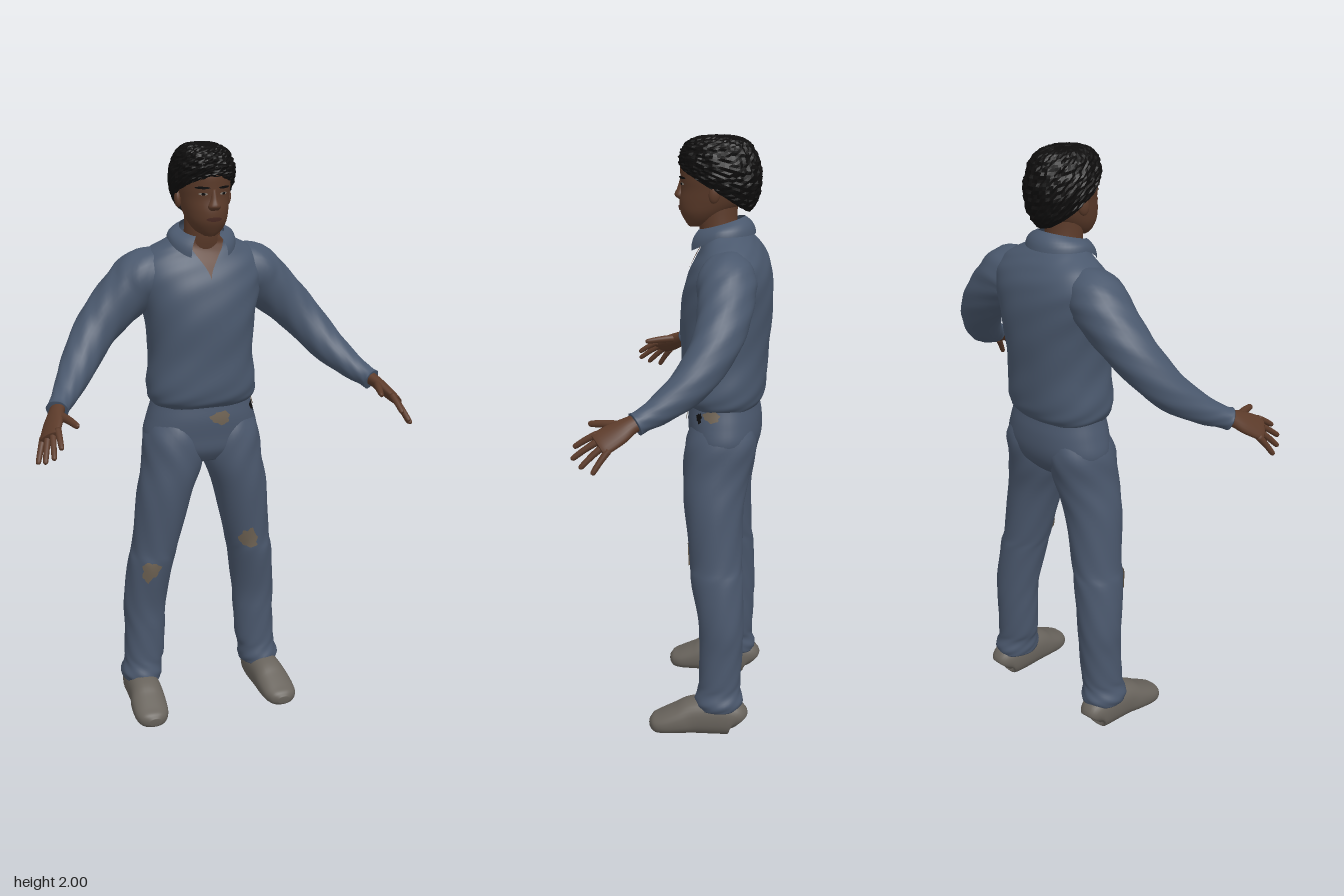
import * as THREE from 'three';

const mat = (name, color, double) => {
  const m = new THREE.MeshStandardMaterial({ color });
  m.name = name;
  if (double) m.side = THREE.DoubleSide;
  return m;
};

// Grid of points f(u, v); s = -1 mirrors it across x
function grid(f, nu, nv, s = 1, closed = true) {
  const pos = [], idx = [], cols = closed ? nu : nu + 1;
  for (let j = 0; j <= nv; j++)
    for (let i = 0; i < cols; i++) {
      const p = f(i / nu, j / nv);
      pos.push(p.x * s, p.y, p.z);
    }
  for (let j = 0; j < nv; j++)
    for (let i = 0; i < nu; i++) {
      const a = j * cols + i, b = j * cols + (i + 1) % cols, c = a + cols, d = b + cols;
      if (s > 0) idx.push(a, c, b, b, c, d);
      else idx.push(a, b, c, b, d, c);
    }
  const g = new THREE.BufferGeometry();
  g.setAttribute('position', new THREE.Float32BufferAttribute(pos, 3));
  g.setIndex(idx);
  g.computeVertexNormals();
  return g;
}

// Smooth surface through sections [x, y, z, ra, rb]; v counts sections.
// Without ref the rings are level; with ref they stand across the path.
function surface(sec, { ref, e = 1, wr = 0 } = {}) {
  const n = sec.length - 1;
  const at = (v) => {
    const k = Math.min(n - 1, Math.max(0, Math.floor(v))), t = v - k;
    const q = [-1, 0, 1, 2].map((d) => sec[Math.min(n, Math.max(0, k + d))]);
    return q[1].map((_, i) => {
      const [a, b, c, d] = q.map((r) => r[i]);
      return b + 0.5 * t * (c - a + t * (2 * a - 5 * b + 4 * c - d + t * (3 * (b - c) + d - a)));
    });
  };
  const pow = (x) => Math.sign(x) * Math.abs(x) ** e;
  const p = (u, v, k = 1) => {
    const [x, y, z, ra, rb] = at(v), th = u * Math.PI * 2;
    const a = new THREE.Vector3(1, 0, 0), b = new THREE.Vector3(0, 0, 1);
    if (ref) {
      const lo = at(Math.max(0, v - 0.2)), hi = at(Math.min(n, v + 0.2));
      const t = new THREE.Vector3(hi[0] - lo[0], hi[1] - lo[1], hi[2] - lo[2]).normalize();
      a.set(...ref).addScaledVector(t, -t.dot(a)).normalize();
      b.crossVectors(a, t);
    }
    const w = k * (1 + wr * Math.sin(5 * th + 2.3 * v) * Math.sin(3.1 * v + 2 * th));
    return new THREE.Vector3(x, y, z).addScaledVector(a, ra * w * pow(Math.cos(th)))
      .addScaledVector(b, rb * w * pow(Math.sin(th)));
  };
  p.n = n;
  return p;
}

// Closed body of a surface, with end caps
function body(p, s = 1, nu = 32, per = 5) {
  const rows = p.n * per;
  return grid((u, t) => {
    const j = Math.round(t * (rows + 2)) - 1;
    return p(u, Math.min(rows, Math.max(0, j)) / per, j < 0 || j > rows ? 0 : 1);
  }, nu, rows + 2, s);
}

const lift = (p, u, v, off) => {
  const h = 0.004, o = p(u, v);
  const du = p(u + h, v).sub(p(u - h, v)), dv = p(u, v + h).sub(p(u, v - h));
  return o.addScaledVector(dv.cross(du).normalize(), off);
};

// Thin rounded patch lying on a surface
const patch = (p, u, v, du, dv, s = 1, off = 0.003, rag = 0) => grid((a, r) => {
  const t = -a * Math.PI * 2, k = r * (1 + rag * Math.sin(3 * t + 1) + rag * Math.sin(7 * t));
  return lift(p, u + du * k * Math.cos(t), v + dv * k * Math.sin(t), off);
}, 24, 5, s);

export function createModel() {
  const model = new THREE.Group();
  const shirt = mat('shirt blue', 0x4a586d, true), denim = mat('trouser blue', 0x4a576c, true);
  const skin = mat('skin brown', 0x5c3b2a, true), hairMat = mat('hair black', 0x0e0d0d, true);
  const shoeMat = mat('shoe grey', 0x68635c), worn = mat('worn tan', 0x6e6253, true);
  const lip = mat('lip brown', 0x4a2a23, true), white = mat('eye white', 0x8c837a, true);
  const add = (name, m, g) => {
    const o = new THREE.Mesh(g, m);
    o.name = name;
    model.add(o);
    return o;
  };

  // Shirt body
  const torso = surface([
    [0, 1.125, -0.118, 0.168, 0.113], [0, 1.15, -0.115, 0.184, 0.132], [0, 1.2, -0.115, 0.188, 0.14],
    [0, 1.3, -0.118, 0.178, 0.143], [0, 1.42, -0.122, 0.188, 0.15], [0, 1.52, -0.13, 0.212, 0.143],
    [0, 1.59, -0.137, 0.222, 0.125], [0, 1.64, -0.138, 0.188, 0.1], [0, 1.675, -0.13, 0.13, 0.08],
    [0, 1.7, -0.115, 0.085, 0.068],
  ], { e: 0.87, wr: 0.014 });
  add('shirt body', shirt, body(torso, 1, 56, 6));

  // Open neck of the shirt
  add('open neckline', skin, grid((u, t) =>
    lift(torso, 0.25 - (u - 0.5) * 2 * 0.11 * t ** 1.6, 5.6 + 3.39 * t, 0.004), 12, 18, -1, false));

  // Folded collar, open at the front
  add('collar', shirt, grid((u, t) => {
    const f = 0.58 + u * (Math.PI * 2 - 1.16), c = Math.cos(f), k = Math.sin(t * Math.PI / 2);
    const top = 1.722 - 0.022 * c, low = 1.69 - 0.062 * Math.max(0, c);
    return new THREE.Vector3((0.074 + 0.041 * k) * Math.sin(f),
      top + (low - top) * t + 0.006 * Math.sin(t * Math.PI), -0.1 - 0.005 * t + (0.078 + 0.032 * k) * c);
  }, 40, 6, 1, false));

  // Trouser seat with worn spots
  const seat = surface([
    [0, 0.93, -0.11, 0.12, 0.08], [0, 0.97, -0.116, 0.18, 0.11], [0, 1.02, -0.122, 0.203, 0.12],
    [0, 1.08, -0.12, 0.19, 0.122], [0, 1.13, -0.118, 0.175, 0.115], [0, 1.17, -0.116, 0.165, 0.11],
  ], { e: 0.92 });
  add('trouser seat', denim, body(seat, 1, 48));
  add('fly patch', worn, patch(seat, 0.225, 3.2, 0.027, 0.42, 1, 0.005, 0.1));
  add('hip patch', worn, patch(seat, 0.03, 3.7, 0.035, 0.35, 1, 0.004, 0.1));
  add('hip tear', hairMat, patch(seat, 0.085, 3.5, 0.014, 0.32, 1, 0.005, 0.15));

  // Legs, shoes, sleeves and hands, mirrored
  const leg = surface([
    [0.224, 0.1, -0.13, 0.068, 0.078], [0.225, 0.125, -0.13, 0.073, 0.083], [0.219, 0.16, -0.13, 0.067, 0.073],
    [0.213, 0.2, -0.132, 0.071, 0.071], [0.208, 0.3, -0.135, 0.072, 0.073], [0.205, 0.4, -0.135, 0.076, 0.076],
    [0.185, 0.55, -0.118, 0.08, 0.088], [0.17, 0.62, -0.112, 0.081, 0.088], [0.14, 0.8, -0.1, 0.095, 0.1],
    [0.109, 0.92, -0.105, 0.105, 0.113], [0.1, 1.02, -0.117, 0.104, 0.116], [0.085, 1.1, -0.12, 0.088, 0.085],
  ], { wr: 0.025 });
  const shoe = surface([
    [0.232, 0.048, -0.2, 0.033, 0.036], [0.231, 0.062, -0.182, 0.05, 0.06], [0.23, 0.067, -0.12, 0.056, 0.067],
    [0.233, 0.063, -0.045, 0.058, 0.063], [0.238, 0.05, 0.005, 0.062, 0.05], [0.242, 0.036, 0.06, 0.059, 0.036],
    [0.242, 0.03, 0.09, 0.045, 0.028], [0.242, 0.028, 0.105, 0.02, 0.014],
  ], { ref: [1, 0, 0], e: 0.85 });
  const sleeve = surface([
    [0.12, 1.585, -0.135, 0.075, 0.075], [0.19, 1.563, -0.143, 0.094, 0.092], [0.24, 1.52, -0.147, 0.09, 0.09],
    [0.31, 1.455, -0.142, 0.082, 0.08], [0.375, 1.385, -0.118, 0.073, 0.07], [0.44, 1.3, -0.06, 0.062, 0.06],
    [0.5, 1.237, 0.02, 0.046, 0.044], [0.535, 1.21, 0.07, 0.036, 0.035], [0.548, 1.2, 0.09, 0.038, 0.036],
  ], { ref: [0, 0, 1], wr: 0.03 });
  const across = [0.576, -0.524, -0.628];
  const palm = surface([
    [0.53, 1.215, 0.06, 0.028, 0.024], [0.552, 1.2, 0.1, 0.03, 0.021], [0.57, 1.18, 0.135, 0.04, 0.02],
    [0.592, 1.155, 0.18, 0.044, 0.016], [0.6, 1.147, 0.195, 0.038, 0.012],
  ], { ref: across });
  const tips = [[0.578, 1.13, 0.272], [0.603, 1.1, 0.274], [0.625, 1.08, 0.245], [0.64, 1.068, 0.205]];
  const fingers = tips.map((tip, i) => {
    const base = [0.592, 1.155, 0.18].map((k, j) => k + across[j] * (-0.034 + 0.0225 * i));
    return surface([0, 0.5, 0.92, 1].map((t) => {
      const r = t === 1 ? 0.004 : 0.0115 - 0.0035 * t;
      return [...base.map((b, j) => b + (tip[j] - b) * t + (j === 1 ? 0.01 * t * (1 - t) : 0)), r, r];
    }), { ref: across });
  });
  const thumb = surface([
    [0.556, 1.195, 0.12, 0.016, 0.013], [0.535, 1.194, 0.175, 0.013, 0.012],
    [0.519, 1.188, 0.228, 0.01, 0.008], [0.516, 1.186, 0.238, 0.004, 0.003],
  ], { ref: across });

  for (const [side, s] of [['left', 1], ['right', -1]]) {
    add(side + ' trouser leg', denim, body(leg, s, 36));
    const foot = body(shoe, s, 32), y = foot.attributes.position;
    for (let i = 0; i < y.count; i++) y.setY(i, Math.max(0, y.getY(i)));
    add(side + ' shoe', shoeMat, foot);
    add(side + ' sleeve', shirt, body(sleeve, s, 32));
    add(side + ' palm', skin, body(palm, s, 20));
    add(side + ' thumb', skin, body(thumb, s, 12, 4));
    fingers.forEach((f, i) => add(`${side} finger ${i + 1}`, skin, body(f, s, 12, 4)));
  }
  add('left knee patch', worn, patch(leg, 0.29, 6.95, 0.06, 0.33, 1, 0.004, 0.12));
  add('right knee patch', worn, patch(leg, 0.2, 6, 0.06, 0.33, -1, 0.004, 0.12));

  // Neck and head
  add('neck', skin, body(surface([
    [0, 1.6, -0.12, 0.08, 0.06], [0, 1.68, -0.1, 0.063, 0.064],
    [0, 1.74, -0.092, 0.059, 0.062], [0, 1.82, -0.095, 0.058, 0.065],
  ])));
  const head = surface([
    [0, 1.708, -0.015, 0.018, 0.018], [0, 1.725, -0.035, 0.045, 0.05], [0, 1.755, -0.05, 0.064, 0.08],
    [0, 1.79, -0.068, 0.074, 0.102], [0, 1.83, -0.08, 0.081, 0.108], [0, 1.865, -0.085, 0.086, 0.115],
    [0, 1.91, -0.09, 0.087, 0.12], [0, 1.95, -0.095, 0.075, 0.1], [0, 1.98, -0.095, 0.035, 0.05],
  ]);
  add('head', skin, body(head, 1, 40));
  add('nose', skin, body(surface([
    [0, 1.795, 0.026, 0.016, 0.01], [0, 1.808, 0.031, 0.021, 0.019],
    [0, 1.83, 0.026, 0.012, 0.015], [0, 1.862, 0.018, 0.008, 0.013],
  ]), 1, 16));
  add('mouth', lip, patch(head, 0.25, 2.35, 0.06, 0.2));

  // Eyes, brows and ears
  for (const [side, s] of [['left', 1], ['right', -1]]) {
    add(side + ' eye', white, patch(head, 0.185, 4.5, 0.027, 0.13, s, 0.002));
    add(side + ' iris', hairMat, patch(head, 0.187, 4.5, 0.012, 0.13, s, 0.004));
    add(side + ' brow', hairMat, patch(head, 0.182, 5.05, 0.043, 0.1, s, 0.004));
    const ear = add(side + ' ear', skin, new THREE.SphereGeometry(1, 16, 12));
    ear.scale.set(0.012, 0.03, 0.019);
    ear.position.set(0.084 * s, 1.822, -0.09);
    ear.rotation.set(-0.15, 0.3 * s, 0);
  }

  // Short curly hair: a faceted cap, longer at the back than at the brow
  const NU = 64, NV = 28;
  const curls = grid((u, v) => {
    const th = -u * Math.PI * 2, c = Math.sin(th);
    const end = Math.PI * (0.71 - 0.09 * c), a = v * end;
    const h = Math.sin(Math.round(u * NU) * 12.9898 + Math.round(v * NV) * 78.233) * 43758.5453;
    const bump = v === 0 ? 1 : 1 + 0.07 * (h - Math.floor(h) - 0.5);
    const r = Math.sin(a) ** 0.62 * bump;
    return new THREE.Vector3(0.106 * r * Math.cos(th),
      1.997 - (0.17 - 0.07 * c) * (1 - Math.cos(a)) / (1 - Math.cos(end)) + 0.04 * (bump - 1),
      -0.098 + 0.133 * r * c);
  }, NU, NV).toNonIndexed();
  curls.computeVertexNormals();
  add('hair', hairMat, curls);

  return model;
}
